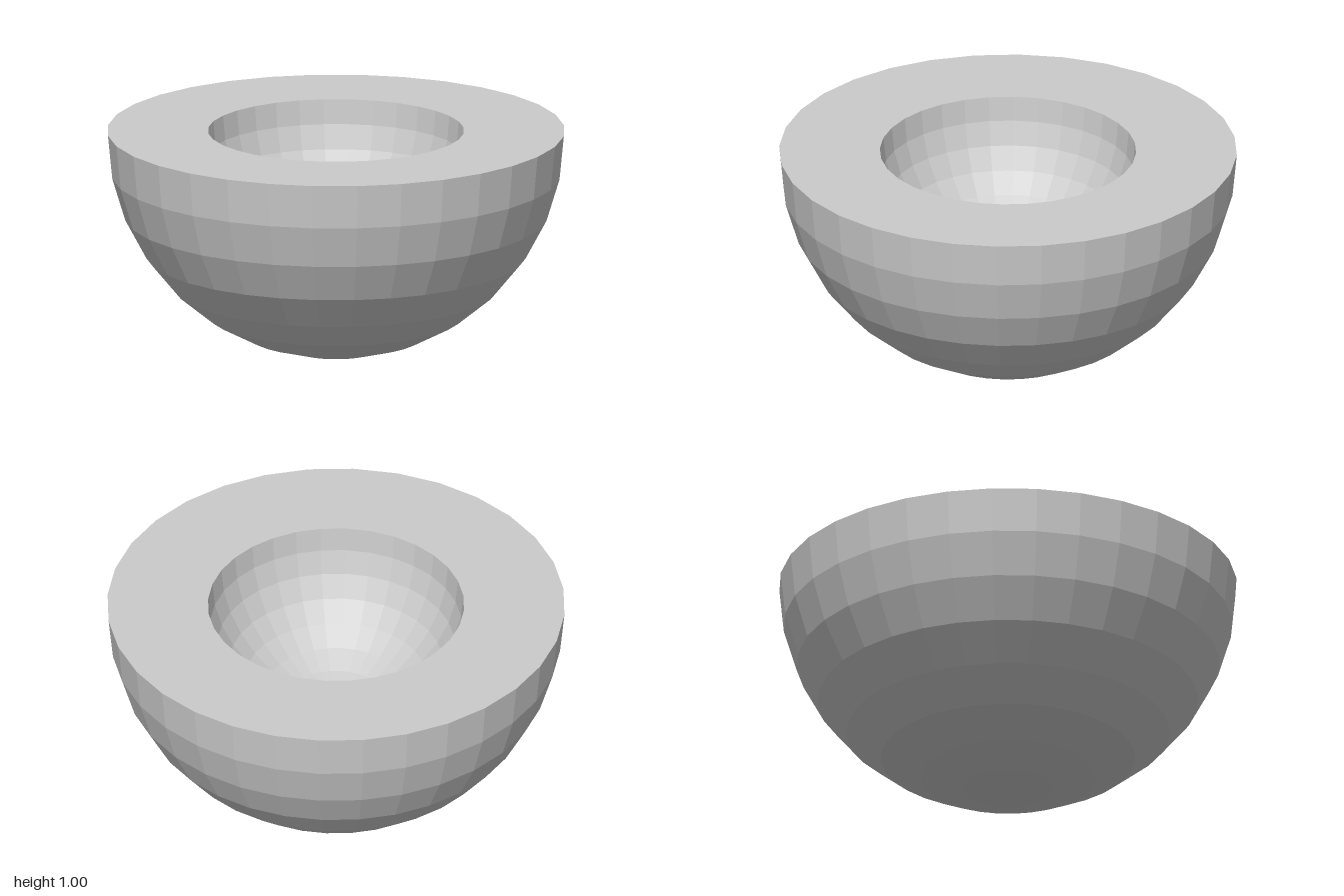
import * as THREE from 'three';

const SIDES = 32, RINGS = 8;

// Quarter arc from the bottom pole up to the rim at y = 1
function quarterArc(radius) {
  return Array.from({ length: RINGS + 1 }, (_, i) => {
    const a = (i / RINGS) * Math.PI / 2;
    return new THREE.Vector2(i === 0 ? 0 : radius * Math.sin(a), 1 - radius * Math.cos(a));
  });
}

export function createModel() {
  const group = new THREE.Group();
  group.name = 'bowl';
  const material = new THREE.MeshStandardMaterial({ color: 0xcccccc, flatShading: true });

  // Outer shell going up, flat rim across, hollow going back down
  const outer = quarterArc(1);
  const hollow = quarterArc(0.56).reverse();
  const bowl = new THREE.Mesh(new THREE.LatheGeometry([...outer, ...hollow], SIDES), material);
  bowl.name = 'hollowHemisphere';
  group.add(bowl);

  return group;
}
